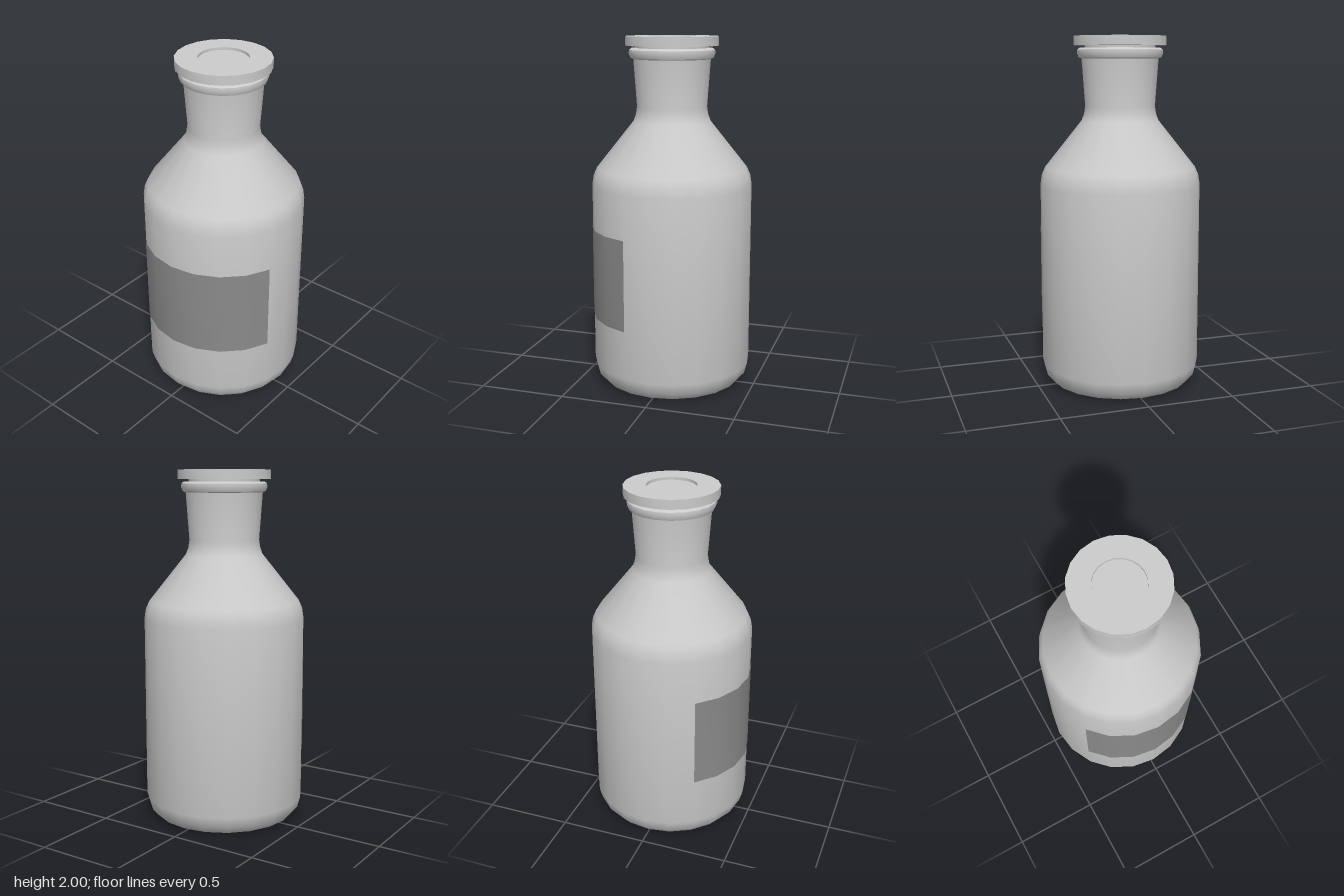
import * as THREE from 'three';
import { toCreasedNormals } from 'three/addons/utils/BufferGeometryUtils.js';

const SIDES = 20;
const STEP = (Math.PI * 2) / SIDES;

// Turned part from a profile of [radius, height], listed bottom to top
function turned(name, profile, material, first = 0, count = SIDES) {
  const points = profile.map(([r, y]) => new THREE.Vector2(r, y));
  const lathe = new THREE.LatheGeometry(points, count, first * STEP, count * STEP);
  const mesh = new THREE.Mesh(toCreasedNormals(lathe, 0.75), material);
  mesh.name = name;
  return mesh;
}

export function createModel() {
  const group = new THREE.Group();
  group.name = 'stopperedBottle';
  const grey = new THREE.MeshStandardMaterial({ color: 0xcccccc });
  const dark = new THREE.MeshStandardMaterial({ color: 0x8a8a8a, side: THREE.DoubleSide });

  // Bottle: rounded foot, straight wall, sloped shoulder, flared neck, rolled lip
  group.add(turned('bottle', [
    [0, 0], [0.35, 0], [0.405, 0.017], [0.442, 0.06], [0.458, 0.12],
    [0.458, 1.165], [0.449, 1.22], [0.429, 1.265],
    [0.218, 1.53], [0.205, 1.565], [0.198, 1.61],
    [0.217, 1.875], [0.232, 1.88], [0.243, 1.905], [0.24, 1.925],
    [0.226, 1.935], [0.19, 1.935],
  ], grey));

  // Stopper: tapered plug, wide cap with a shallow round recess on top
  group.add(turned('stopper', [
    [0, 1.65], [0.17, 1.65], [0.2, 1.93], [0.2, 1.948],
    [0.261, 1.948], [0.261, 2], [0.137, 2], [0.137, 1.985], [0, 1.985],
  ], grey));

  // Label wrapped over seven facets of the wall
  group.add(turned('label', [[0.461, 0.4], [0.461, 0.92]], dark, -3, 7));

  return group;
}
